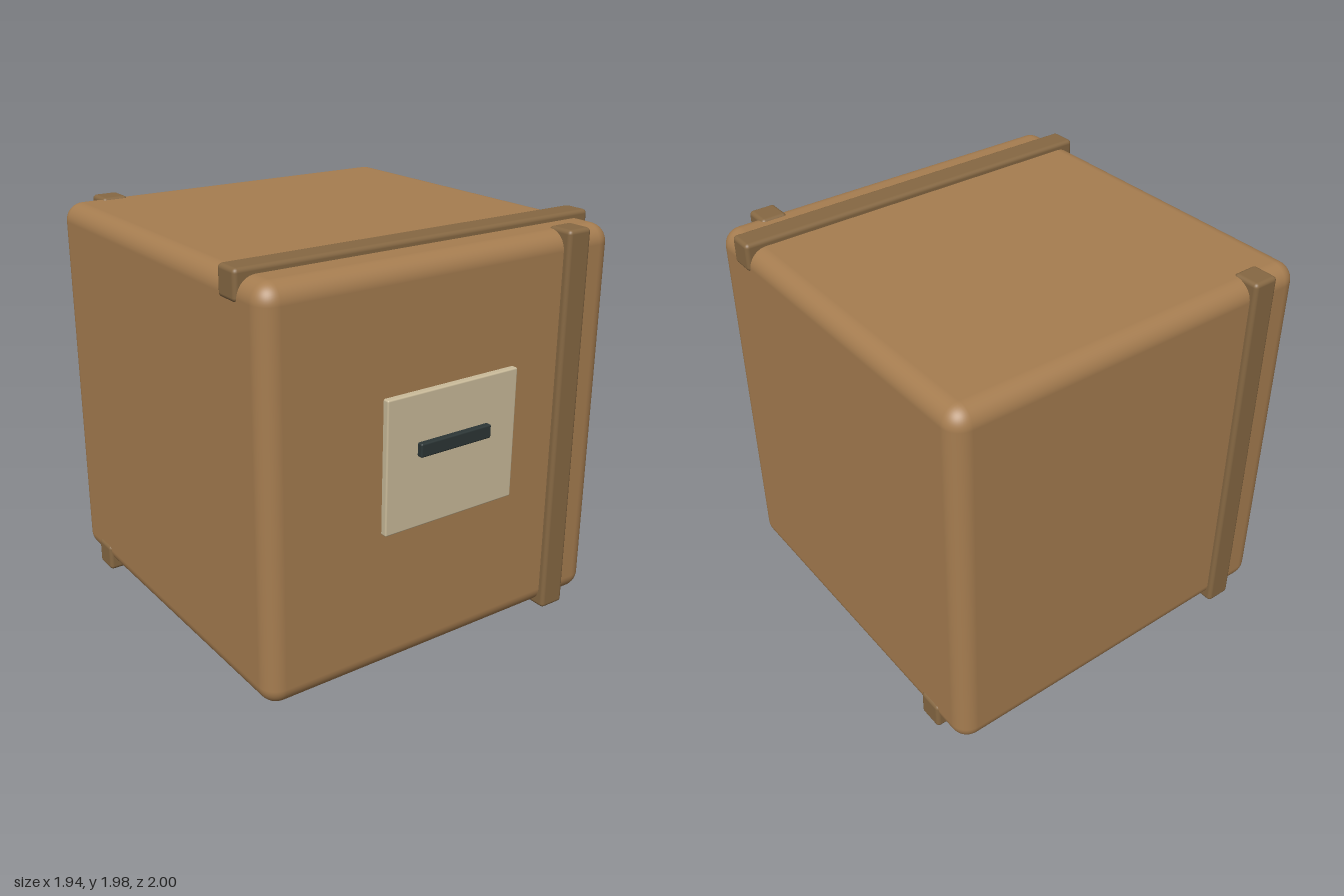
import * as THREE from 'three';
import { RoundedBoxGeometry } from 'three/addons/geometries/RoundedBoxGeometry.js';

export function createModel() {
  const model = new THREE.Group();
  model.name = 'parcel';

  const paint = (color) => new THREE.MeshStandardMaterial({ color });
  const cardboard = paint(0xa67d50);
  const strapBrown = paint(0x866843);
  const paper = paint(0xcabb9a);
  const ink = paint(0x2c3636);

  // Rounded block given its size, centre and edge radius
  function block(name, size, centre, radius, segments, material) {
    const mesh = new THREE.Mesh(new RoundedBoxGeometry(...size, segments, radius), material);
    mesh.name = name;
    mesh.position.set(...centre);
    model.add(mesh);
  }

  const midY = 0.99, midZ = -0.013;
  const across = 0.705, out = 0.918, width = 0.135, depth = 0.14;

  // Box body
  block('body', [1.916, 1.916, 1.916], [0, midY, midZ - 0.003], 0.09, 6, cardboard);

  // Straps on four faces, each pair turned half a turn about the middle
  for (const [side, level, face] of [[1, 'top', 'front'], [-1, 'bottom', 'back']]) {
    block(`${level}Strap`, [1.936, depth, width],
      [0, midY + side * 0.92, midZ + side * across], 0.02, 3, strapBrown);
    block(`${face}Strap`, [width, 1.936, depth],
      [side * across, midY, midZ + side * out], 0.02, 3, strapBrown);
  }

  // Paper label with a dark printed bar
  block('label', [0.735, 0.64, 0.04], [0, 1.05, 0.953], 0.008, 2, paper);
  block('labelBar', [0.4, 0.066, 0.04], [0, 1.108, 0.98], 0.008, 2, ink);

  return model;
}
